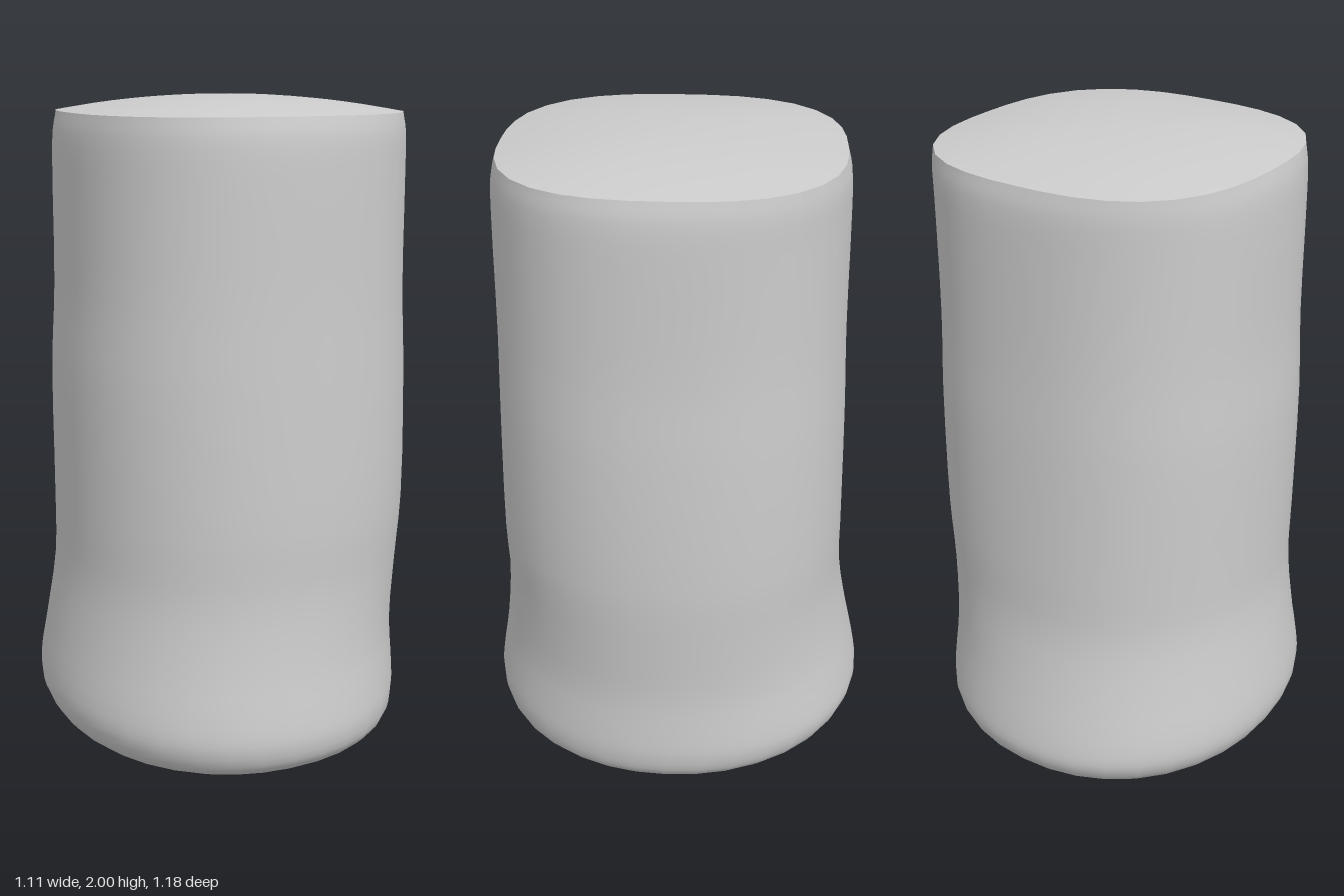
import * as THREE from 'three';

const SIDES = 36;

// Cross-sections: [y, xMin, xMax, zMin, zMax, squareness exponent]
const bodySections = [
  [0.00, 0.09, 0.09, 0.05, 0.05, 2.1],
  [0.018, -0.18, 0.31, -0.20, 0.29, 2.1],
  [0.055, -0.40, 0.45, -0.43, 0.47, 2.1],
  [0.115, -0.51, 0.525, -0.55, 0.565, 2.1],
  [0.18, -0.55, 0.543, -0.587, 0.587, 2.1],
  [0.25, -0.557, 0.543, -0.582, 0.582, 2.1],
  [0.40, -0.535, 0.535, -0.55, 0.557, 2.1],
  [0.60, -0.505, 0.545, -0.515, 0.537, 2.15],
  [0.80, -0.50, 0.555, -0.51, 0.54, 2.2],
  [1.20, -0.495, 0.545, -0.50, 0.53, 2.3],
  [1.45, -0.48, 0.53, -0.49, 0.522, 2.35],
  [1.80, -0.475, 0.525, -0.485, 0.517, 2.4],
  [1.90, -0.468, 0.519, -0.48, 0.51, 2.5],
  [1.953, -0.455, 0.505, -0.467, 0.495, 2.65],
];

// Shallow domed lid, shrinking from the rim to its centre
const rim = bodySections[bodySections.length - 1];
const capSections = [1, 0.8, 0.6, 0.4, 0.2, 0].map((s) => [
  rim[0] + 0.047 * (1 - s * s),
  0.025 - 0.48 * s, 0.025 + 0.48 * s,
  0.014 - 0.481 * s, 0.014 + 0.481 * s,
  2.65,
]);

// Point on a superellipse section at a given angle
function sectionPoint([y, x0, x1, z0, z1, n], angle) {
  const c = Math.cos(angle), s = Math.sin(angle);
  const r = Math.pow(Math.abs(c) ** n + Math.abs(s) ** n, -1 / n);
  return new THREE.Vector3(
    (x0 + x1) / 2 + r * c * (x1 - x0) / 2,
    y,
    (z0 + z1) / 2 + r * s * (z1 - z0) / 2,
  );
}

// Smooth skin through the sections, listed from the bottom outward and up
function loft(sections, rows) {
  const positions = [], index = [];
  for (let j = 0; j < SIDES; j++) {
    const angle = (j / SIDES) * Math.PI * 2;
    const curve = new THREE.CatmullRomCurve3(sections.map((s) => sectionPoint(s, angle)));
    for (let i = 0; i <= rows; i++) positions.push(...curve.getPoint(i / rows).toArray());
  }
  for (let j = 0; j < SIDES; j++) {
    const next = (j + 1) % SIDES;
    for (let i = 0; i < rows; i++) {
      const a = j * (rows + 1) + i, b = next * (rows + 1) + i;
      index.push(a, a + 1, b, b, a + 1, b + 1);
    }
  }
  const geometry = new THREE.BufferGeometry();
  geometry.setAttribute('position', new THREE.Float32BufferAttribute(positions, 3));
  geometry.setIndex(index);
  geometry.computeVertexNormals();
  return geometry;
}

export function createModel() {
  const group = new THREE.Group();
  const material = new THREE.MeshStandardMaterial({ color: 0xcccccc });

  // Tapered body with a swollen, rounded foot
  const body = new THREE.Mesh(loft(bodySections, 39), material);
  body.name = 'body';

  // Separate surface keeps the rim crease sharp
  const cap = new THREE.Mesh(loft(capSections, 10), material);
  cap.name = 'topCap';

  group.add(body, cap);
  return group;
}
